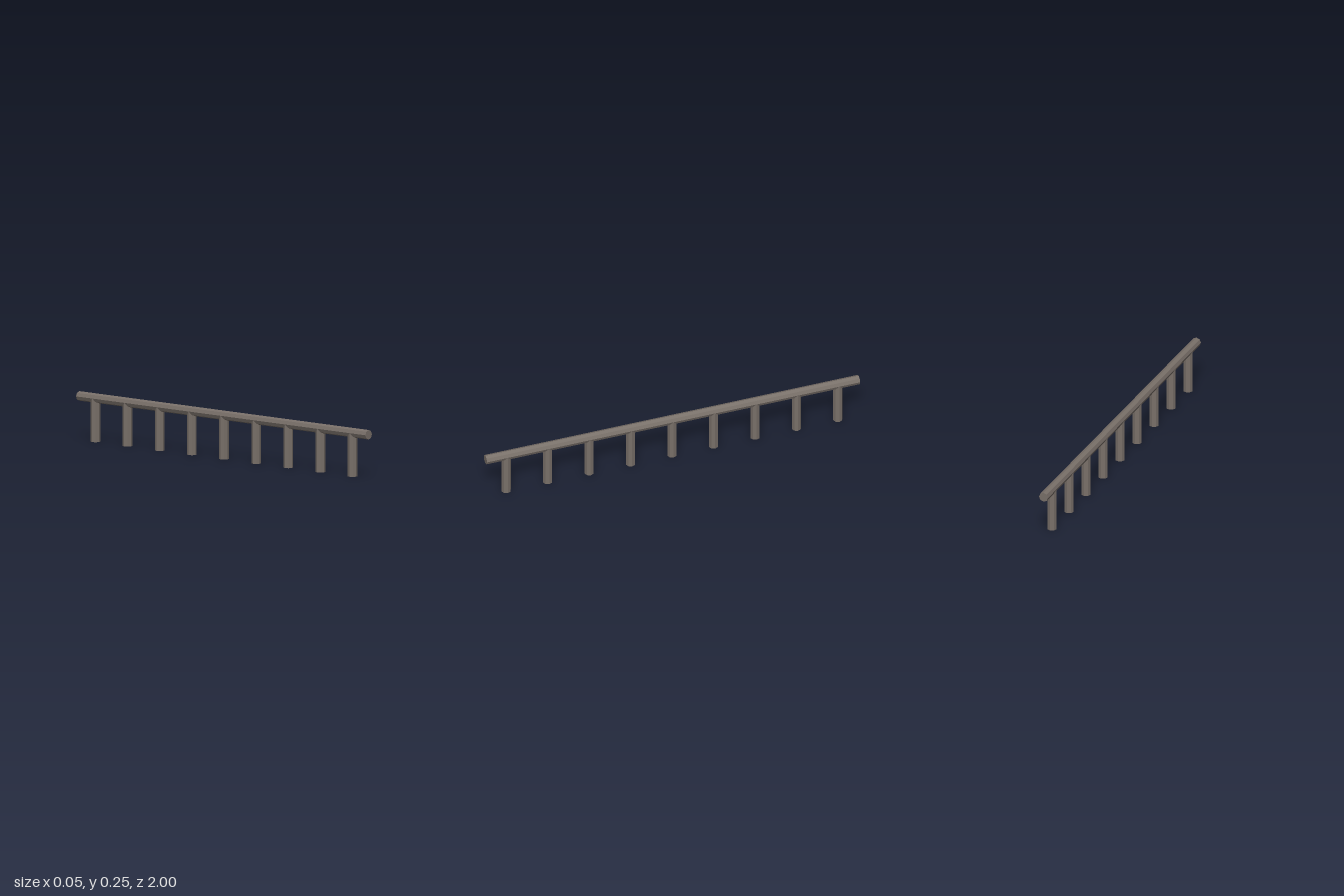
import * as THREE from 'three';

export function createModel() {
  const group = new THREE.Group();
  const metal = new THREE.MeshStandardMaterial({
    color: 0x786f68, flatShading: true, side: THREE.DoubleSide,
  });
  metal.name = 'warm grey metal';

  const radius = 0.0245;
  const railY = 0.2225;

  // Octagonal rail running front to back
  const rail = new THREE.Mesh(new THREE.CylinderGeometry(radius, radius, 2, 8), metal);
  rail.name = 'rail';
  rail.rotation.x = Math.PI / 2;
  rail.position.y = railY;
  group.add(rail);

  // Nine evenly spaced hollow posts, ending inside the rail
  const postGeometry = new THREE.CylinderGeometry(radius, radius, railY, 8, 1, true);
  for (let i = -4; i <= 4; i++) {
    const post = new THREE.Mesh(postGeometry, metal);
    post.name = `post${i + 5}`;
    post.position.set(0, railY / 2, i * 2 / 9);
    group.add(post);
  }
  return group;
}
